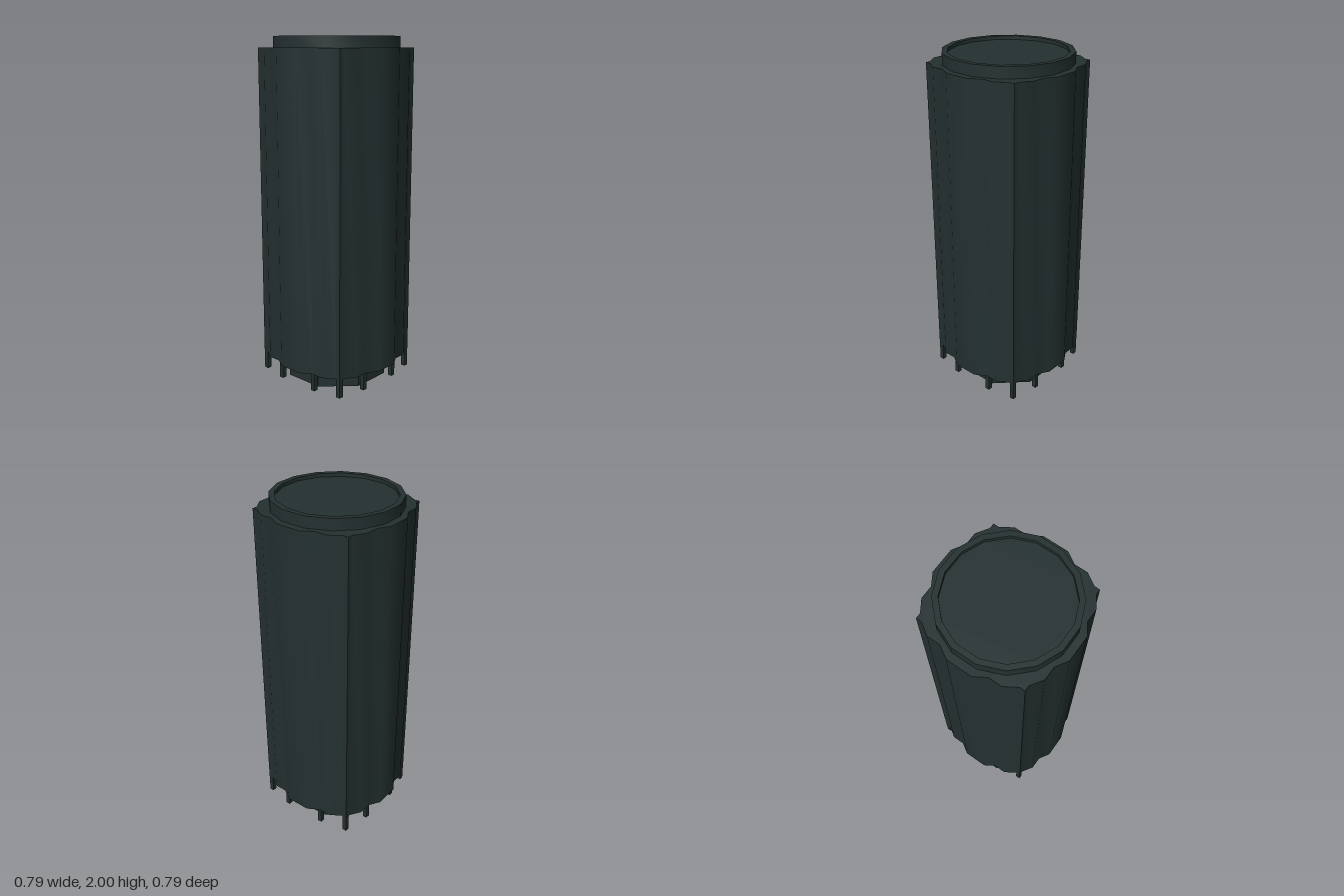
import * as THREE from 'three';
import { toCreasedNormals } from 'three/addons/utils/BufferGeometryUtils.js';

const CREASE = 0.7; // keeps shallow flutes smooth and corners sharp

// Extrude an outline on the ground plane upward from y0 to y1
function prism(shape, y0, y1) {
  const g = new THREE.ExtrudeGeometry(shape, { depth: y1 - y0, bevelEnabled: false });
  g.rotateX(-Math.PI / 2);
  g.translate(0, y0, 0);
  return toCreasedNormals(g, CREASE);
}

// Regular polygon with flats facing the axes
function polygon(apothem, sides) {
  const r = apothem / Math.cos(Math.PI / sides);
  return Array.from({ length: sides }, (_, i) => {
    const a = ((i + 0.5) / sides) * Math.PI * 2;
    return new THREE.Vector2(r * Math.cos(a), r * Math.sin(a));
  });
}

export function createModel() {
  const model = new THREE.Group();
  model.name = 'flutedCanister';
  const casing = new THREE.MeshStandardMaterial({ color: 0x243030 });
  casing.name = 'dark slate green';

  const add = (name, geometry, parent = model) => {
    const mesh = new THREE.Mesh(geometry, casing);
    mesh.name = name;
    parent.add(mesh);
    return mesh;
  };

  // Body: one quarter of the stepped outline, turned four times
  const quarter = [
    [0.397, -0.073], [0.397, 0.073], [0.356, 0.14], [0.356, 0.215],
    [0.313, 0.282], [0.313, 0.313], [0.282, 0.313], [0.215, 0.356], [0.14, 0.356],
  ];
  const outline = [];
  for (let k = 0; k < 4; k++) {
    for (const [x, y] of quarter) {
      const p = new THREE.Vector2(x, y);
      for (let i = 0; i < k; i++) p.set(-p.y, p.x);
      outline.push(p);
    }
  }
  add('body', prism(new THREE.Shape(outline), 0.11, 1.937));

  // Lid: raised rim around a slightly sunken disc
  const rim = new THREE.Shape(polygon(0.355, 16));
  rim.holes.push(new THREE.Path(polygon(0.324, 16)));
  add('lidRim', prism(rim, 1.937, 2));
  add('lidDisc', prism(new THREE.Shape(polygon(0.324, 16)), 1.937, 1.98));

  // Octagonal plinth under the body
  add('plinth', prism(new THREE.Shape(polygon(0.285, 8)), 0, 0.11));

  // Thin feet: one per corner and two per side
  const feet = new THREE.Group();
  feet.name = 'feet';
  model.add(feet);
  const footGeometry = new THREE.BoxGeometry(0.027, 0.112, 0.027);
  const spots = [[0.299, 0.299], [0.13, 0.331], [-0.13, 0.331]];
  for (let k = 0; k < 4; k++) {
    for (const [x, z] of spots) {
      const foot = add('foot', footGeometry, feet);
      foot.position.set(x, 0.056, z).applyAxisAngle(new THREE.Vector3(0, 1, 0), k * Math.PI / 2);
    }
  }
  return model;
}
